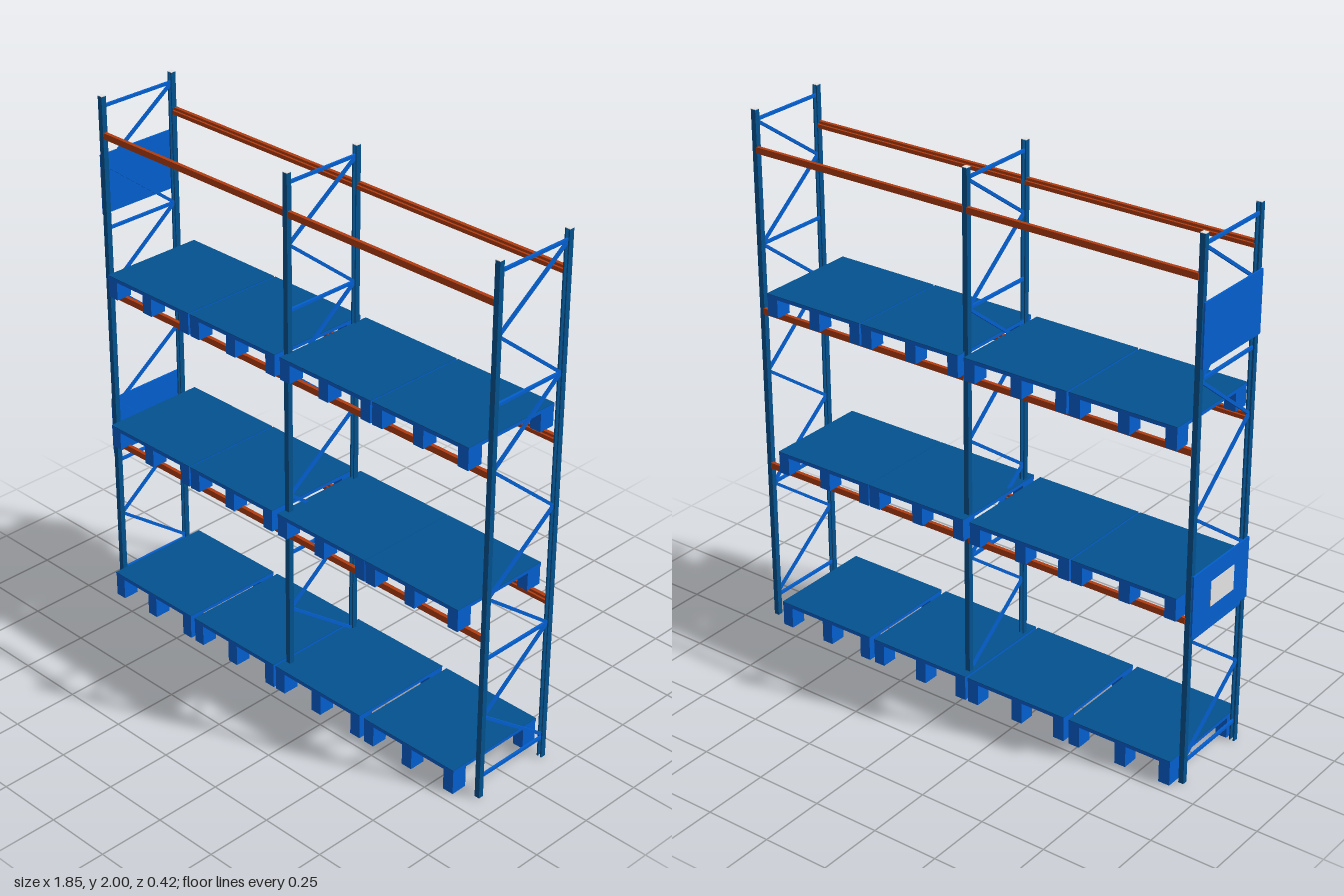
import * as THREE from 'three';

const mat = (name, color) => {
  const m = new THREE.MeshStandardMaterial({ color });
  m.name = name;
  return m;
};

export function createModel() {
  const steel = mat('darkBlueSteel', 0x035290);
  const blue = mat('brightBlue', 0x025fd0);
  const rust = mat('rustOrange', 0xb33c10);
  const grey = mat('lightGrey', 0xe6e4e4);

  const root = new THREE.Group();
  root.name = 'palletRack';
  const group = (name, parent = root) => {
    const g = new THREE.Group();
    g.name = name;
    parent.add(g);
    return g;
  };

  // Box given by its minimum and maximum corners
  const box = (parent, name, m, a, b) => {
    const geo = new THREE.BoxGeometry(b[0] - a[0], b[1] - a[1], b[2] - a[2]);
    const mesh = new THREE.Mesh(geo, m);
    mesh.position.set((a[0] + b[0]) / 2, (a[1] + b[1]) / 2, (a[2] + b[2]) / 2);
    mesh.name = name;
    parent.add(mesh);
  };

  const polygon = (pts) => new THREE.Shape(pts.map((p) => new THREE.Vector2(p[0], p[1])));
  const frameX = [-0.902, 0.004, 0.911];
  const zFront = 0.155, zBack = -0.164;

  // Upright: hollow channel, slot facing the inside of the frame
  const r = 0.01, t = 0.003, lip = 0.005;
  const channel = polygon([
    [-r, -r], [r, -r], [r, r], [lip, r], [lip, r - t], [r - t, r - t],
    [r - t, t - r], [t - r, t - r], [t - r, r - t], [-lip, r - t], [-lip, r], [-r, r],
  ]);
  const postGeo = new THREE.ExtrudeGeometry(channel, { depth: 1.998, bevelEnabled: false });
  postGeo.rotateX(-Math.PI / 2);

  // Brace between two points of a frame, given as [z, y]
  const brace = (parent, x, a, b) => {
    const dz = b[0] - a[0], dy = b[1] - a[1];
    const mesh = new THREE.Mesh(new THREE.BoxGeometry(0.009, 0.011, Math.hypot(dz, dy)), blue);
    mesh.position.set(x, (a[1] + b[1]) / 2, (a[0] + b[0]) / 2);
    mesh.rotation.x = -Math.atan2(dy, dz);
    mesh.name = 'brace';
    parent.add(mesh);
  };

  const zigzag = [1.955, 1.74, 1.5, 1.265, 1.01, 0.79, 0.555, 0.325, 0.095];
  const rungs = [1.96, 1.5, 0.555, 0.08];
  for (const x of frameX) {
    const frame = group('uprightFrame');
    for (const z of [zFront, zBack]) {
      const post = new THREE.Mesh(postGeo, steel);
      post.position.set(x, 0, z);
      if (z < 0) post.rotation.y = Math.PI;
      post.name = 'upright';
      frame.add(post);
      box(frame, 'uprightCap', grey, [x - r, 1.998, z - r], [x + r, 2, z + r]);
    }
    const zi = zFront - 0.006, zo = zBack + 0.006;
    for (const y of rungs) brace(frame, x, [zi, y], [zo, y]);
    for (let i = 0; i < zigzag.length - 1; i++) {
      const back = i % 2 === 0;
      brace(frame, x, [back ? zo : zi, zigzag[i]], [back ? zi : zo, zigzag[i + 1]]);
    }
  }

  // Load beams: stepped section, one per bay, step facing the inside of the rack
  const beamTops = [0.647, 1.263, 1.866];
  const section = polygon([
    [-0.011, -0.023], [0.011, -0.023], [0.011, 0], [-0.003, 0], [-0.003, -0.009], [-0.011, -0.009],
  ]);
  for (const y of beamTops) {
    const level = group('beamLevel');
    for (let bay = 0; bay < 2; bay++) {
      const x0 = frameX[bay] + 0.008, x1 = frameX[bay + 1] - 0.008;
      const geo = new THREE.ExtrudeGeometry(section, { depth: x1 - x0, bevelEnabled: false });
      geo.translate(0, 0, (x0 - x1) / 2);
      for (const s of [1, -1]) {
        const beam = new THREE.Mesh(geo, rust);
        beam.rotation.y = -s * Math.PI / 2;
        beam.position.set((x0 + x1) / 2, y, s > 0 ? 0.152 : -0.166);
        beam.name = 'beam';
        level.add(beam);
      }
    }
  }

  // Pallets: thin deck with a darker top sheet on six block feet
  const rows = [
    { y: 0, h: 0.098, z0: -0.211, z1: 0.211, xs: [-0.88, -0.442, -0.014, 0.425] },
    { y: 0.645, h: 0.086, z0: -0.211, z1: 0.198, xs: [-0.88, -0.455, -0.01, 0.411] },
    { y: 1.262, h: 0.085, z0: -0.211, z1: 0.198, xs: [-0.861, -0.435, 0.008, 0.433] },
  ];
  const width = 0.418, foot = 0.044, deck = 0.015, sheet = 0.002;
  for (const { y, h, z0, z1, xs } of rows) {
    const row = group('palletRow');
    for (const x of xs) {
      const pallet = group('pallet', row);
      const top = y + h, under = top - deck;
      box(pallet, 'palletDeck', blue, [x, under, z0], [x + width, top - sheet, z1]);
      box(pallet, 'deckSheet', steel, [x, top - sheet, z0], [x + width, top, z1]);
      for (const fx of [0.001, 0.181, width - foot - 0.001]) {
        for (const fz of [z0 + 0.001, z1 - 0.064]) {
          box(pallet, 'palletFoot', blue, [x + fx, y, fz], [x + fx + foot, under, fz + 0.063]);
        }
      }
    }
  }

  // End panels with a plain plate on the lower one
  for (const [y0, y1] of [[0.58, 0.81], [1.55, 1.775]]) {
    box(root, 'endPanel', blue, [-0.922, y0, -0.175], [-0.916, y1, 0.16]);
  }
  box(root, 'signPlate', grey, [-0.924, 0.65, -0.07], [-0.921, 0.745, 0.07]);

  return root;
}
